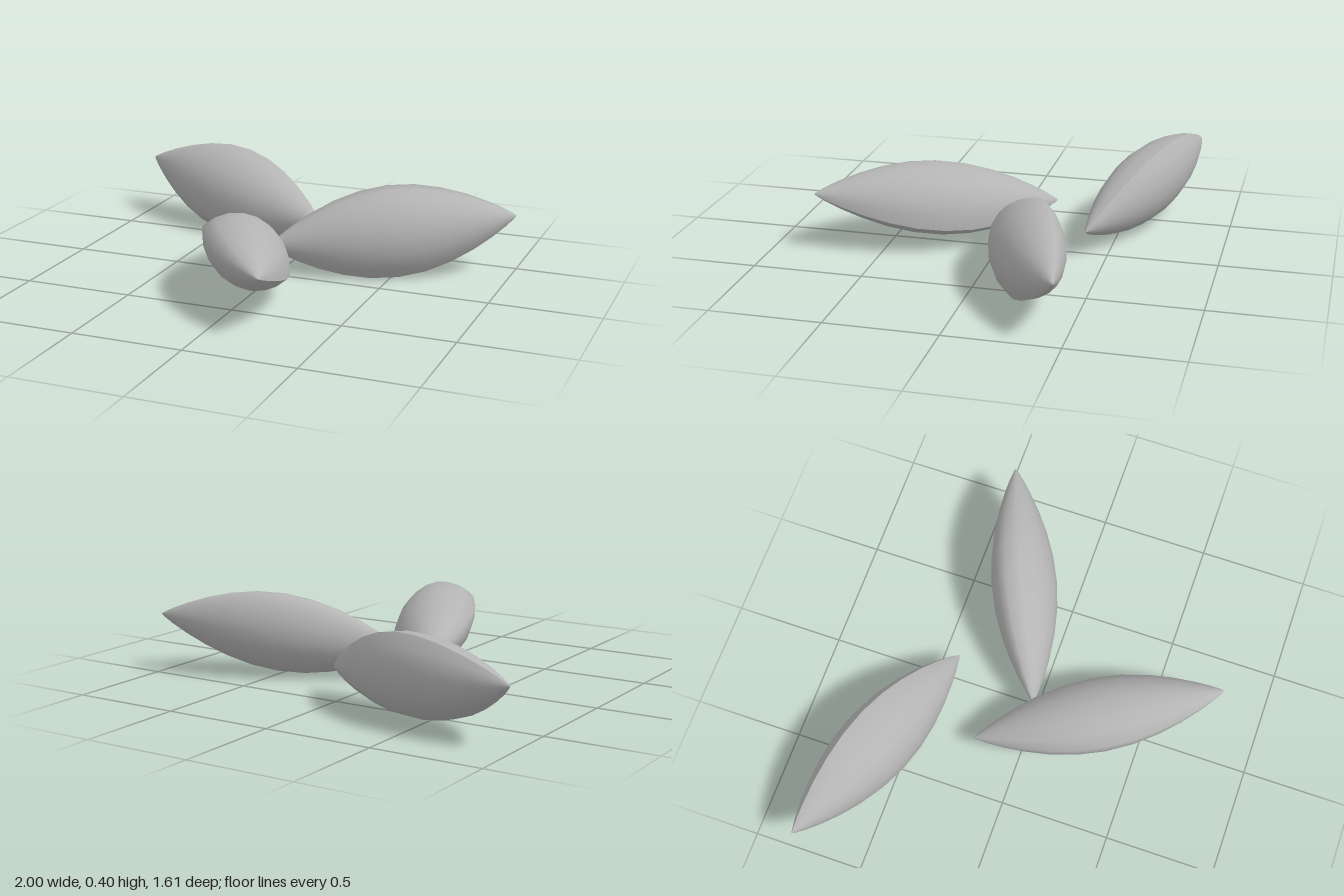
import * as THREE from 'three';

const HALF_WIDTH = 0.213, HALF_THICK = 0.147; // lens-shaped section
const RINGS = 14, ARC_STEPS = 8;

// Lens section: two circular arcs; starts and ends on the keel
function lensSection() {
  const R = (HALF_WIDTH ** 2 + HALF_THICK ** 2) / (2 * HALF_THICK);
  const offset = R - HALF_THICK;
  const half = Math.asin(HALF_WIDTH / R);
  const points = [];
  for (const side of [1, -1]) {
    for (let j = side === 1 ? 0 : 1; j <= ARC_STEPS; j++) {
      const a = half * (1 - (2 * j) / ARC_STEPS);
      points.push([side * R * Math.sin(a), side * (R * Math.cos(a) - offset)]);
    }
  }
  return points;
}

// Pointed pod from inner tip to outer tip; keel is the roll angle of its sharp edge
function podGeometry(inner, outer, keel) {
  const start = new THREE.Vector3(...inner), end = new THREE.Vector3(...outer);
  const dir = end.clone().sub(start).normalize();
  const right = dir.clone().cross(new THREE.Vector3(0, 1, 0)).normalize();
  const up = right.clone().cross(dir);
  const c = Math.cos(keel), s = Math.sin(keel);
  const major = right.clone().multiplyScalar(c).addScaledVector(up, s);
  const minor = up.clone().multiplyScalar(c).addScaledVector(right, -s);

  const section = lensSection(), n = section.length;
  const positions = [], index = [];
  for (let i = 0; i <= RINGS; i++) {
    const t = (1 - Math.cos((Math.PI * i) / RINGS)) / 2; // rings closer near the tips
    const scale = Math.max(Math.sin(Math.PI * t), 0.0005) ** 0.85;
    const centre = start.clone().lerp(end, t);
    for (const [u, v] of section) {
      const p = centre.clone().addScaledVector(major, u * scale).addScaledVector(minor, v * scale);
      positions.push(p.x, p.y, p.z);
    }
  }
  for (let i = 0; i < RINGS; i++) {
    for (let j = 0; j < n - 1; j++) {
      const a = i * n + j, b = a + n;
      index.push(a, b, a + 1, a + 1, b, b + 1);
    }
  }
  const geometry = new THREE.BufferGeometry();
  geometry.setAttribute('position', new THREE.Float32BufferAttribute(positions, 3));
  geometry.setIndex(index);
  geometry.computeVertexNormals(); // the doubled keel vertices keep that edge sharp
  return geometry;
}

export function createModel() {
  const group = new THREE.Group();
  group.name = 'pods';
  const grey = new THREE.MeshStandardMaterial({ color: 0xb4b4b4 });
  grey.name = 'grey';

  // Three pods fanned around the middle, tips slightly raised
  const pods = [
    ['frontPod', [-0.29, 0.14, -0.21], [0.25, 0.27, 0.8], 207],
    ['leftPod', [-0.04, 0.13, -0.01], [1, 0.27, -0.46], 294],
    ['backPod', [0.07, 0.13, -0.41], [-1, 0.27, -0.79], 65],
  ];
  for (const [name, inner, outer, keel] of pods) {
    const pod = new THREE.Mesh(podGeometry(inner, outer, THREE.MathUtils.degToRad(keel)), grey);
    pod.name = name;
    group.add(pod);
  }
  return group;
}
